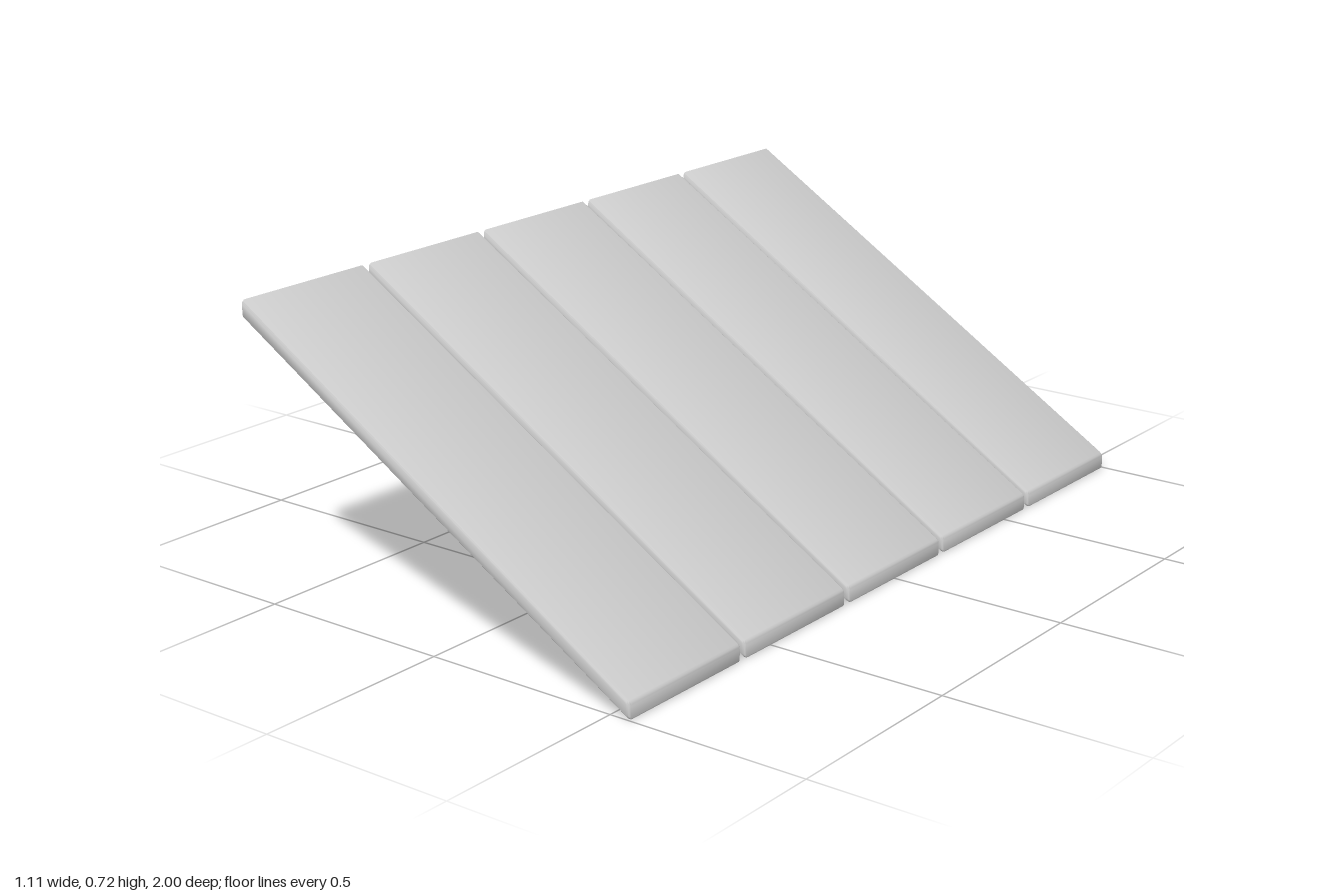
import * as THREE from 'three';
import { toCreasedNormals } from 'three/addons/utils/BufferGeometryUtils.js';

const COUNT = 5, WIDTH = 0.388, PITCH = 0.403;
const HALF_X = 0.5535, THICK = 0.044, RADIUS = 0.01;
const SLOPE = 0.614, MID_Y = 0.36, STEPS = 4;

// Rounded-rectangle outline of a board as [z, y] pairs, shrunk by inset
function outline(inset) {
  const points = [];
  const cz = WIDTH / 2 - RADIUS, cy = THICK / 2 - RADIUS, r = RADIUS - inset;
  [[1, 1], [-1, 1], [-1, -1], [1, -1]].forEach(([sz, sy], corner) => {
    for (let i = 0; i <= STEPS; i++) {
      const a = (corner + i / STEPS) * Math.PI / 2;
      points.push([sz * cz + r * Math.cos(a), sy * cy + r * Math.sin(a)]);
    }
  });
  return points;
}

// Board lofted along x: plumb cut at the high end, rounded over at the low end
function boardGeometry() {
  const stations = [[-HALF_X, 0]];
  for (let i = 0; i <= STEPS; i++) {
    const a = i / STEPS * Math.PI / 2 * 0.9;
    stations.push([HALF_X - RADIUS + RADIUS * Math.sin(a) / Math.sin(Math.PI * 0.45),
      RADIUS * (1 - Math.cos(a))]);
  }
  const positions = [], index = [];
  const add = (x, y, z) => positions.push(x, MID_Y + y - SLOPE * x, z);
  for (const [x, inset] of stations) for (const [z, y] of outline(inset)) add(x, y, z);
  const n = 4 * (STEPS + 1);
  for (let s = 0; s < stations.length - 1; s++) {
    for (let i = 0; i < n; i++) {
      const a = s * n + i, b = s * n + (i + 1) % n;
      index.push(a, a + n, b, b, a + n, b + n);
    }
  }
  // End caps
  const last = (stations.length - 1) * n, centre = stations.length * n;
  add(-HALF_X, 0, 0);
  add(HALF_X, 0, 0);
  for (let i = 0; i < n; i++) {
    const j = (i + 1) % n;
    index.push(centre, i, j, centre + 1, last + j, last + i);
  }
  const geometry = new THREE.BufferGeometry();
  geometry.setAttribute('position', new THREE.Float32BufferAttribute(positions, 3));
  geometry.setIndex(index);
  return toCreasedNormals(geometry, 0.7);
}

export function createModel() {
  const group = new THREE.Group();
  group.name = 'slopedBoards';
  const material = new THREE.MeshStandardMaterial({ color: 0xcccccc });
  const geometry = boardGeometry();
  // Row of parallel boards with narrow gaps
  for (let i = 0; i < COUNT; i++) {
    const board = new THREE.Mesh(geometry, material);
    board.name = `board${i + 1}`;
    board.position.z = (i - (COUNT - 1) / 2) * PITCH;
    group.add(board);
  }
  return group;
}
